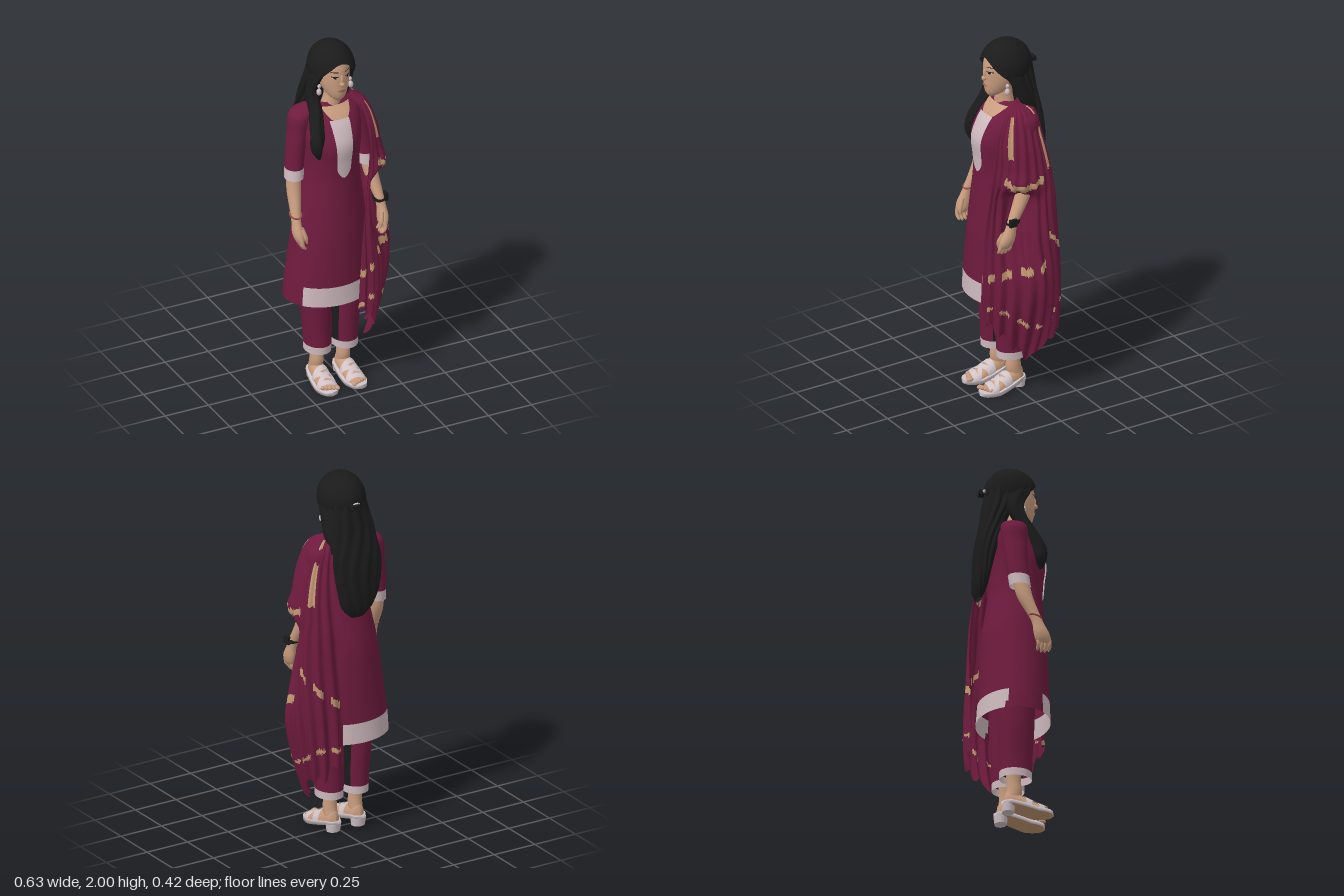
import * as THREE from 'three';

const mat = (name, color) => {
  const m = new THREE.MeshStandardMaterial({ color, side: THREE.DoubleSide });
  m.name = name;
  return m;
};
const cloth = mat('maroon cloth', 0x6e1b3d), trim = mat('pale trim', 0xcdb9be), gold = mat('gold border', 0xbf9670),
  skin = mat('skin', 0xc89c7e), hair = mat('black hair', 0x1b1b1c), lip = mat('lips', 0xa46a5c),
  shoe = mat('sandal leather', 0xd0c3c8), bangleMat = mat('bangle', 0x9a4a48);
const TAU = Math.PI * 2, { sin, cos, abs, max, min, sqrt, floor, PI } = Math;

// Surface from p(u, v) -> [x, y, z]; pick(u, v) returns the material index of a cell
function grid(name, p, nu, nv, mats, { closed = false, pick } = {}) {
  const pos = [], cells = mats.map(() => []), w = closed ? nu : nu + 1;
  for (let j = 0; j <= nv; j++) for (let i = 0; i < w; i++) pos.push(...p(i / nu, j / nv));
  for (let j = 0; j < nv; j++) for (let i = 0; i < nu; i++) {
    const a = j * w + i, b = j * w + (i + 1) % w, c = a + w, d = b + w;
    cells[pick ? pick((i + 0.5) / nu, (j + 0.5) / nv) : 0].push(a, b, c, b, d, c);
  }
  const g = new THREE.BufferGeometry();
  g.setAttribute('position', new THREE.Float32BufferAttribute(pos, 3));
  g.setIndex(cells.flat());
  let start = 0;
  cells.forEach((c, k) => { g.addGroup(start, c.length, k); start += c.length; });
  g.computeVertexNormals();
  const mesh = new THREE.Mesh(g, mats);
  mesh.name = name;
  return mesh;
}

// Smooth interpolation of rows whose first entry is the height (descending)
function at(rows, y) {
  const n = rows.length;
  let i = 0;
  while (i < n - 2 && y < rows[i + 1][0]) i++;
  const a = rows[i], b = rows[i + 1], p = rows[max(i - 1, 0)], q = rows[min(i + 2, n - 1)];
  const h = b[0] - a[0], t = min(1, max(0, (y - a[0]) / h)), t2 = t * t, t3 = t2 * t;
  return a.map((_, k) => {
    const m0 = (b[k] - p[k]) / (b[0] - p[0]) * h, m1 = (q[k] - a[k]) / (q[0] - a[0]) * h;
    return (2 * t3 - 3 * t2 + 1) * a[k] + (t3 - 2 * t2 + t) * m0 + (3 * t2 - 2 * t3) * b[k] + (t3 - t2) * m1;
  });
}

// Loft through horizontal ellipses [y, cx, cz, rx, rz]; pick(x, y, z) chooses the material
function loft(name, rows, mats, { n = 28, nv = 24, wave = 0, lobes = 9, pick } = {}) {
  const top = rows[0][0], bot = rows[rows.length - 1][0];
  const p = (u, v) => {
    const y = top + (bot - top) * v, [, cx, cz, rx, rz] = at(rows, y), a = u * TAU;
    const k = 1 + wave * sin(a * lobes + 3 * sin(v * 7));
    return [cx + max(rx, 0.002) * k * sin(a), y, cz - max(rz, 0.002) * k * cos(a)];
  };
  return grid(name, p, n, nv, [].concat(mats), { closed: true, pick: pick && ((u, v) => pick(...p(u, v))) });
}

// Thin patch lying on the front of a loft
function patch(name, rows, m, cx, y0, y1, half, off = 0.004, nu = 10, nv = 14) {
  return grid(name, (u, v) => {
    const y = y0 + (y1 - y0) * v, r = at(rows, y), x = cx + (2 * u - 1) * half(v);
    return [x, y, r[2] + r[4] * sqrt(max(0, 1 - ((x - r[1]) / r[3]) ** 2)) + off];
  }, nu, nv, [m]);
}

function solid(name, geo, m, x, y, z, sx = 1, sy = 1, sz = 1) {
  const mesh = new THREE.Mesh(geo, m);
  mesh.name = name;
  mesh.position.set(x, y, z);
  mesh.scale.set(sx, sy, sz);
  return mesh;
}
const ball = new THREE.SphereGeometry(1, 16, 12);

const bodyRows = [[1.665, -0.045, 0, 0.07, 0.05], [1.645, -0.045, -0.01, 0.12, 0.075], [1.61, -0.045, -0.005, 0.155, 0.105],
  [1.55, -0.045, 0.01, 0.16, 0.135], [1.46, -0.05, 0.033, 0.155, 0.148], [1.35, -0.05, 0.03, 0.148, 0.143],
  [1.25, -0.05, 0.025, 0.152, 0.143], [1.05, -0.055, 0.015, 0.185, 0.165], [0.9, -0.06, 0.015, 0.202, 0.175],
  [0.64, -0.07, 0.012, 0.228, 0.186], [0.53, -0.07, 0.01, 0.237, 0.192]];
const headRows = [[1.985, -0.04, 0, 0.02, 0.03], [1.95, -0.04, 0, 0.068, 0.098], [1.9, -0.04, 0.01, 0.083, 0.115],
  [1.85, -0.04, 0.015, 0.083, 0.117], [1.8, -0.04, 0.025, 0.079, 0.106], [1.75, -0.04, 0.045, 0.063, 0.084],
  [1.715, -0.04, 0.07, 0.04, 0.05], [1.697, -0.04, 0.085, 0.015, 0.02]];

function buildHead() {
  const g = new THREE.Group();
  g.name = 'head';
  g.add(loft('face', headRows, skin, { nv: 30 }));
  g.add(loft('neck', [[1.77, -0.04, 0.01, 0.045, 0.05], [1.7, -0.04, 0.015, 0.043, 0.046], [1.62, -0.045, 0.01, 0.06, 0.055]], skin));
  g.add(solid('nose', ball, skin, -0.04, 1.808, 0.132, 0.013, 0.014, 0.019));
  g.add(solid('noseBridge', ball, skin, -0.04, 1.83, 0.128, 0.009, 0.032, 0.014));
  for (const s of [-1, 1]) {
    const x = -0.04 + s * 0.036;
    g.add(patch('eyeWhite', headRows, trim, x, 1.84, 1.851, v => 0.016 * sin(PI * v), 0.003));
    g.add(patch('iris', headRows, hair, x, 1.84, 1.852, v => 0.007 * sin(PI * v), 0.005));
    g.add(patch('lashes', headRows, hair, x, 1.85, 1.855, () => 0.017, 0.004, 8, 2));
    g.add(patch('eyebrow', headRows, hair, x, 1.876, 1.88, () => 0.018, 0.003, 8, 2));
    g.add(solid('ear', ball, skin, -0.04 + s * 0.085, 1.815, 0.02, 0.012, 0.032, 0.02));
    g.add(solid('earringStud', ball, trim, -0.04 + s * 0.09, 1.775, 0.048, 0.01, 0.012, 0.01));
    g.add(solid('earringDrop', ball, trim, -0.04 + s * 0.092, 1.742, 0.05, 0.014, 0.02, 0.014));
  }
  g.add(patch('lips', headRows, lip, -0.04, 1.76, 1.775, v => 0.024 * sin(PI * v), 0.005));
  return g;
}

function buildHair() {
  const g = new THREE.Group();
  g.name = 'hair';
  // Cap, cut high over the forehead and low behind the ears
  g.add(grid('hairCap', (u, v) => {
    const a = u * TAU, front = (1 - cos(a)) / 2, t = v * (2.25 - 1.15 * front ** 3);
    const k = 1 + 0.008 * sin(a * 16) * v;
    return [-0.04 + 0.122 * k * sin(a) * sin(t), 1.86 + 0.14 * cos(t), 0.004 - 0.142 * k * cos(a) * sin(t)];
  }, 64, 20, [hair], { closed: true }));
  const o = { wave: 0.07, n: 90, nv: 40, lobes: 11 };
  g.add(loft('longHair', [[1.92, -0.04, -0.04, 0.085, 0.08], [1.8, -0.04, -0.06, 0.112, 0.08], [1.7, -0.045, -0.09, 0.125, 0.065],
    [1.55, -0.05, -0.128, 0.137, 0.055], [1.4, -0.045, -0.152, 0.122, 0.042], [1.3, -0.035, -0.162, 0.09, 0.03], [1.245, -0.03, -0.165, 0.035, 0.012]], hair, o));
  g.add(loft('frontLock', [[1.93, -0.105, 0.05, 0.012, 0.03], [1.86, -0.13, 0.035, 0.024, 0.055], [1.75, -0.15, 0, 0.026, 0.045], [1.64, -0.155, 0.05, 0.034, 0.045],
    [1.52, -0.175, 0.115, 0.036, 0.04], [1.44, -0.182, 0.128, 0.028, 0.032], [1.39, -0.172, 0.132, 0.006, 0.006]], hair, { wave: 0.09, lobes: 5, n: 40, nv: 32 }));
  g.add(loft('leftLock', [[1.92, 0.03, 0.04, 0.012, 0.03], [1.85, 0.052, 0.02, 0.022, 0.05], [1.76, 0.068, -0.02, 0.022, 0.04], [1.67, 0.072, -0.06, 0.022, 0.04], [1.6, 0.07, -0.1, 0.006, 0.02]], hair));
  g.add(solid('hairClip', new THREE.BoxGeometry(0.045, 0.025, 0.03), hair, -0.03, 1.855, -0.15));
  g.add(solid('clipJewel', ball, trim, -0.04, 1.86, -0.138, 0.025, 0.012, 0.012));
  return g;
}

// Arms are modelled on the right; the left is mirrored and its forearm reaches further forward
function buildArm(side) {
  const g = new THREE.Group(), X = x => side < 0 ? x : -0.09 - x, Z = y => side < 0 ? 0 : 0.028 * min(1, max(0, (1.29 - y) / 0.2));
  g.name = side < 0 ? 'rightArm' : 'leftArm';
  const mir = rows => rows.map(([y, x, z, ...r]) => [y, X(x), z + Z(y), ...r]);
  g.add(loft('sleeve', mir([[1.65, -0.155, -0.015, 0.02, 0.03], [1.61, -0.2, -0.02, 0.058, 0.068], [1.5, -0.222, -0.02, 0.054, 0.066],
    [1.35, -0.243, -0.012, 0.05, 0.058], [1.24, -0.253, 0, 0.05, 0.056]]), [cloth, trim], { nv: 28, pick: (x, y) => y < 1.295 ? 1 : 0 }));
  g.add(loft('forearm', mir([[1.29, -0.255, 0, 0.037, 0.042], [1.18, -0.265, 0.022, 0.037, 0.042], [1.06, -0.28, 0.074, 0.026, 0.031],
    [1.02, -0.284, 0.09, 0.024, 0.032], [0.97, -0.284, 0.107, 0.028, 0.042], [0.93, -0.279, 0.118, 0.023, 0.04], [0.915, -0.278, 0.12, 0.012, 0.03]]), skin));
  for (let i = 0; i < 4; i++) {
    const z = 0.088 + i * 0.02, end = 0.875 + abs(i - 1.5) * 0.008;
    g.add(loft('finger', mir([[0.95, -0.28, z, 0.011, 0.011], [0.91, -0.277, z + 0.004, 0.011, 0.011], [end, -0.262, z + 0.003, 0.008, 0.008], [end - 0.006, -0.26, z + 0.002, 0.002, 0.002]]), skin, { n: 10, nv: 10 }));
  }
  g.add(loft('thumb', mir([[1, -0.27, 0.125, 0.012, 0.014], [0.95, -0.258, 0.146, 0.012, 0.012], [0.915, -0.25, 0.148, 0.004, 0.004]]), skin, { n: 10, nv: 10 }));
  const band = solid(side < 0 ? 'bangle' : 'watchStrap', new THREE.TorusGeometry(0.031, 0.0045, 8, 28), side < 0 ? bangleMat : hair, X(-0.28), 1.06, 0.075 + Z(1.06), 1, 1.1, side < 0 ? 1 : 2.4);
  band.rotation.x = PI / 2 + 0.3;
  g.add(band);
  if (side > 0) g.add(solid('watchFace', new THREE.BoxGeometry(0.016, 0.042, 0.042), hair, 0.22, 1.066, 0.118));
  return g;
}

// Leg, foot and sandal
function buildLeg(side) {
  const g = new THREE.Group(), x = side < 0 ? -0.123 : 0.032;
  g.name = side < 0 ? 'rightLeg' : 'leftLeg';
  // Inner faces of the trousers are black
  g.add(loft('trouserLeg', [[0.75, x + side * 0.012, 0.01, 0.088, 0.1], [0.5, x + side * 0.01, 0.01, 0.083, 0.096], [0.3, x, 0.01, 0.074, 0.088], [0.19, x, 0.01, 0.07, 0.086]],
    [cloth, trim, hair], { nv: 40, pick: (a, y) => y < 0.225 ? 1 : (x - a) * side > 0.058 ? 2 : 0 }));
  g.add(loft('ankle', [[0.3, x, 0, 0.042, 0.046], [0.18, x, 0, 0.034, 0.038], [0.12, x, 0.002, 0.036, 0.042], [0.06, x, -0.012, 0.034, 0.042]], skin));
  const foot = new THREE.Group();
  foot.name = 'foot';
  foot.position.x = x;
  foot.rotation.y = side * 0.04;
  const base = z => 0.022 + 0.036 * min(1, max(0, (0.12 - z) / 0.14));
  const surf = (a, z, off) => {
    const t = (z + 0.055) / 0.235, round = sqrt(max(0, 1 - abs(2 * t - 1) ** 6));
    const w = (0.037 + 0.016 * t) * round + off, h = (0.08 - 0.057 * t) * round + off;
    return [w * cos(a), base(z) + h * sin(a), z];
  };
  foot.add(grid('footTop', (u, v) => surf(u * PI, -0.055 + 0.235 * v, 0), 18, 24, [skin]));
  for (let i = 0; i < 5; i++) foot.add(solid('toe', ball, skin, -side * (0.036 - i * 0.018), 0.032, 0.185 - i * 0.008, i ? 0.009 : 0.013, 0.011, 0.02));
  // Crossing straps follow the foot surface
  for (const [z0, slant] of [[0.105, 0.035], [0.105, -0.035], [0.15, 0.008], [0.062, -0.01]])
    foot.add(grid('strap', (u, v) => surf(u * PI, z0 + slant * cos(u * PI) + (v - 0.5) * 0.028, 0.006), 20, 3, [shoe]));
  const outline = t => 0.048 + 0.013 * sin(PI * max(0, t * 1.15 - 0.15));
  const corners = [[1, 1], [-1, 1], [-1, 0], [1, 0], [1, 1]];
  foot.add(grid('sole', (u, v) => {
    const [s, up] = corners[Math.round(u * 4)], z = -0.068 + 0.278 * v;
    return [s * outline(v) * sqrt(max(0, 1 - abs(2 * v - 1) ** 5)), base(z) - (up ? 0 : 0.021), z];
  }, 4, 28, [shoe, gold], { pick: u => floor(u * 4) === 2 ? 1 : 0 }));
  foot.add(solid('heel', new THREE.CylinderGeometry(0.044, 0.037, 0.045, 20), shoe, 0, 0.0225, -0.03, 1, 1, 0.85));
  g.add(foot);
  return g;
}

// Shawl: plan outlines running from the front edge round the left arm to the back edge
function buildShawl() {
  const plan = [
    [1.672, .05, .015, .06, .015, .07, .01, .075, 0, .07, -.02, .06, -.03, .05, -.04],
    [1.63, .085, .085, .11, .075, .135, .05, .145, 0, .135, -.05, .115, -.075, .075, -.095],
    [1.5, .105, .14, .135, .125, .185, .075, .203, 0, .19, -.06, .155, -.1, .09, -.12],
    [1.35, .1, .16, .15, .13, .21, .085, .237, 0, .225, -.075, .18, -.125, .09, -.145],
    [1.25, .09, .165, .145, .145, .22, .105, .25, 0, .235, -.085, .185, -.14, .085, -.16],
    [1.17, .08, .17, .115, .145, .14, .04, .225, -.02, .245, -.08, .19, -.15, .08, -.17],
    [0.95, .055, .19, .11, .165, .14, .07, .255, 0, .265, -.085, .195, -.16, .075, -.185],
    [0.7, .04, .2, .12, .185, .2, .1, .3, 0, .27, -.1, .195, -.175, .07, -.19],
    [0.45, .03, .2, .11, .19, .18, .11, .25, 0, .24, -.1, .185, -.175, .07, -.195],
    [0.19, .03, .19, .09, .18, .13, .08, .16, 0, .18, -.08, .16, -.15, .07, -.18]];
  const hem = [0.46, 0.43, 0.33, 0.21, 0.33, 0.37, 0.46];
  const yAt = (u, v) => {
    const s = u * 6, i = min(5, floor(s)), low = hem[i] + (hem[i + 1] - hem[i]) * (s - i) + 0.025 * sin(u * 50);
    return 1.672 + (low - 1.672) * v;
  };
  const pleated = (u, v) => {
    const y = yAt(u, v), r = at(plan, y), pts = [];
    for (let i = 0; i < 7; i++) pts.push(new THREE.Vector3(r[1 + 2 * i], y, r[2 + 2 * i]));
    const c = new THREE.CatmullRomCurve3(pts), p = c.getPoint(u), t = c.getTangent(u);
    const k = (0.003 + 0.011 * v) * sin(u * TAU * 10 + 1.2 * sin(v * 5));
    return [p.x - t.z * k, y, p.z + t.x * k];
  };
  const near = (a, b, r) => abs(a - b) < r;
  const pick = (u, v) => {
    const y = yAt(u, v), gap = sin(u * 47 + 1) > -0.2;
    if (y > 1.41 && y < 1.63 && near(u, 0.26, 0.032)) return 1;
    if (y > 1.33 && y < 1.655 && near(u, 0.74, 0.045)) return 1;
    if (u > 0.2 && u < 0.6 && near(y, 1.275 + 0.02 * sin(u * 12), 0.02)) return 1;
    if (u < 0.62 && gap && near(y, 0.68 + 0.22 * u, 0.021)) return 1;
    if (u > 0.62 && gap && near(y, 1.0 - 0.6 * (u - 0.6), 0.02)) return 1;
    return gap && near(y, 0.49 + 0.05 * sin(u * 9), 0.012) ? 1 : 0;
  };
  return grid('shawl', pleated, 110, 90, [cloth, gold], { pick });
}

export function createModel() {
  const model = new THREE.Group();
  model.name = 'standingWoman';
  // Tunic with pale hem panels at front and back
  model.add(loft('tunic', bodyRows, [cloth, trim], { n: 72, nv: 62, pick: (x, y, z) => y < 0.635 && abs(x + 0.07) < (z > 0 ? 0.19 : 0.208) ? 1 : 0 }));
  model.add(patch('neckline', bodyRows, skin, -0.04, 1.588, 1.65, v => 0.03 + 0.053 * sqrt(v), 0.005));
  model.add(patch('placket', bodyRows, trim, -0.047, 1.27, 1.592, v => 0.036 * sqrt(min(1, v * 7)) + 0.02 * v, 0.007, 12, 40));
  model.add(buildHead(), buildHair(), buildShawl());
  for (const s of [-1, 1]) model.add(buildArm(s), buildLeg(s));
  return model;
}
